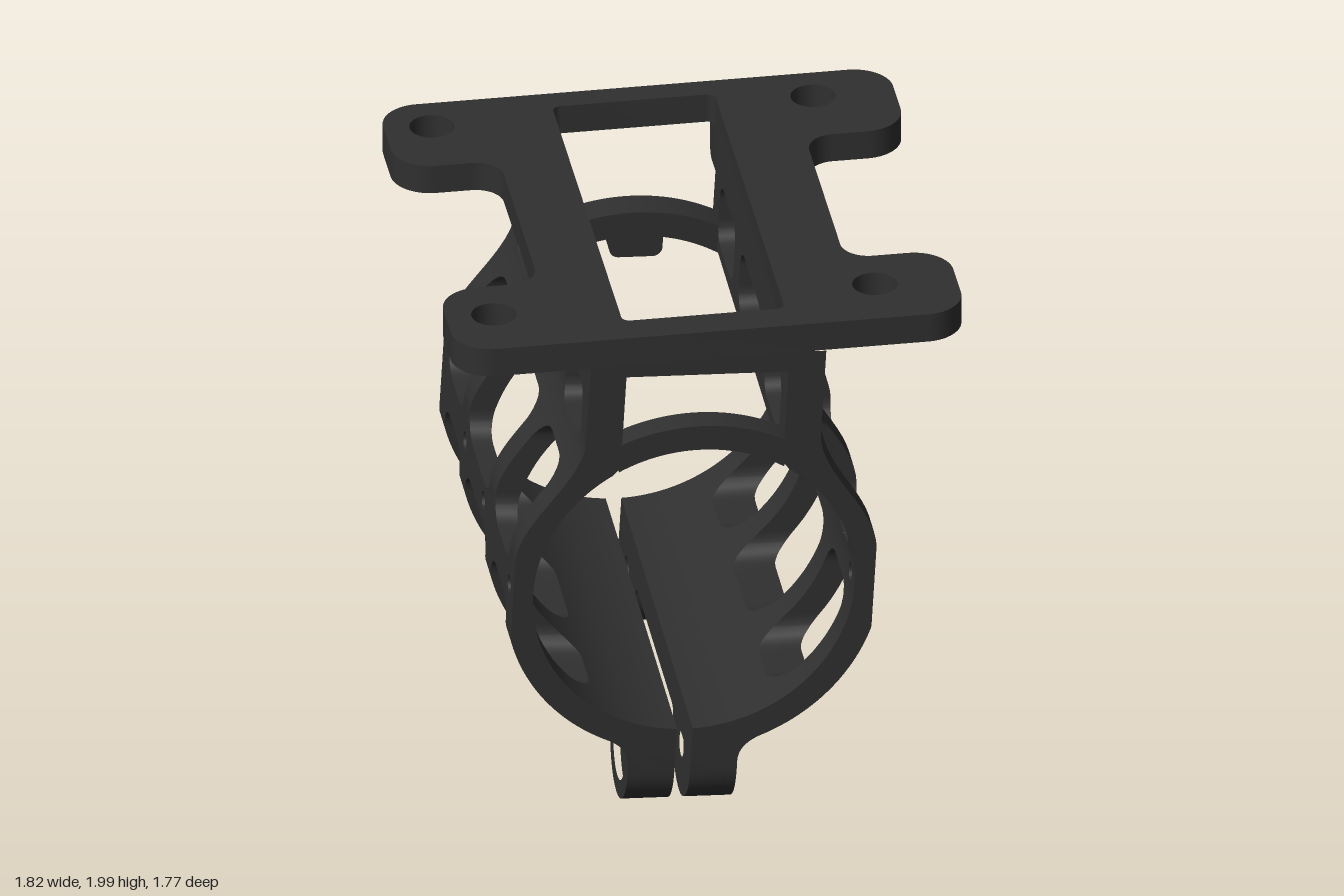
import * as THREE from 'three';
import { toCreasedNormals } from 'three/addons/utils/BufferGeometryUtils.js';

const material = new THREE.MeshStandardMaterial({ color: 0x303030 });
const HALF_LEN = 0.785, R_IN = 0.575, R_OUT = 0.67, SPLIT = -0.49, WALL_TOP = 0.965;

function part(name, geometry, crease = 0.5) {
  const mesh = new THREE.Mesh(toCreasedNormals(geometry, crease), material);
  mesh.name = name;
  return mesh;
}

function extrude(shape, depth) {
  return new THREE.ExtrudeGeometry(shape, { depth, bevelEnabled: false, curveSegments: 20 });
}

// closed outline from [x, y, cornerRadius] points
function rounded(points, target = new THREE.Shape()) {
  const n = points.length;
  points.forEach(([x, y, r], i) => {
    const toward = ([px, py]) => {
      const d = Math.hypot(px - x, py - y);
      return [x + ((px - x) * r) / d, y + ((py - y) * r) / d];
    };
    const a = toward(points[(i + n - 1) % n]), b = toward(points[(i + 1) % n]);
    if (i === 0) target.moveTo(...a); else target.lineTo(...a);
    const k = 0.55;
    if (r > 0) target.bezierCurveTo(a[0] + (x - a[0]) * k, a[1] + (y - a[1]) * k,
      b[0] + (x - b[0]) * k, b[1] + (y - b[1]) * k, ...b);
  });
  target.closePath();
  return target;
}

const rect = (x0, y0, x1, y1, r, target) =>
  rounded([[x0, y0, r], [x1, y0, r], [x1, y1, r], [x0, y1, r]], target);

const circle = (x, y, r) => new THREE.Path().absarc(x, y, r, 0, Math.PI * 2, true);

// wall thickness profile by height
const innerX = (y) => Math.max(0.29, Math.sqrt(Math.max(0, R_IN * R_IN - y * y)));
function outerX(y) {
  if (y < 0.14) return Math.min(0.645, Math.sqrt(R_OUT * R_OUT - y * y));
  return 0.645 - 0.225 * THREE.MathUtils.smoothstep(y, 0.14, 0.62);
}

// windows and small bores cut straight through the side walls
const cuts = [];
for (const [y0, y1, r] of [[-0.48, -0.085, 0.09], [0.065, 0.465, 0.09], [0.555, 0.785, 0.07]]) {
  for (const [z, hw] of [[-0.508, 0.167], [0, 0.225], [0.508, 0.167]]) {
    cuts.push({ z, y: (y0 + y1) / 2, hw, hh: (y1 - y0) / 2, r });
  }
}
for (const z of [-0.28, 0.125, 0.695]) cuts.push({ z, y: -0.005, hw: 0.033, hh: 0.033, r: 0.033 });

function cutWidth(c, y) {
  const d = Math.max(0, Math.abs(y - c.y) - (c.hh - c.r));
  return c.hw - c.r + Math.sqrt(Math.max(0, c.r * c.r - d * d));
}

// side wall built in horizontal bands, each split around the cuts
function sideWallGeometry() {
  let levels = [];
  for (let i = 0; i <= 48; i++) levels.push(SPLIT + ((WALL_TOP - SPLIT) * i) / 48);
  for (const c of cuts) {
    for (let k = 0; k <= 6; k++) {
      const d = c.hh - c.r + c.r * Math.sin((k / 6) * Math.PI / 2);
      levels.push(c.y + d, c.y - d);
    }
  }
  levels = levels.sort((a, b) => a - b).filter((y, i, all) => i === 0 || y - all[i - 1] > 1e-6);

  const pos = [];
  const quad = (a, b, c, d) => pos.push(...a, ...b, ...c, ...a, ...c, ...d);
  const inn = (y, z) => [innerX(y), y, z], out = (y, z) => [outerX(y), y, z];
  for (let i = 0; i + 1 < levels.length; i++) {
    const a = levels[i], b = levels[i + 1], mid = (a + b) / 2;
    const active = cuts.filter((c) => Math.abs(mid - c.y) < c.hh).sort((p, q) => p.z - q.z);
    for (let k = 0; k <= active.length; k++) {
      const p = active[k - 1], q = active[k];
      const lo = (y) => (p ? p.z + cutWidth(p, y) : -HALF_LEN);
      const hi = (y) => (q ? q.z - cutWidth(q, y) : HALF_LEN);
      const [la, lb, ha, hb] = [lo(a), lo(b), hi(a), hi(b)];
      quad(out(a, ha), out(a, la), out(b, lb), out(b, hb));
      quad(inn(a, la), inn(a, ha), inn(b, hb), inn(b, lb));
      quad(inn(a, ha), out(a, ha), out(b, hb), inn(b, hb));
      quad(out(a, la), inn(a, la), inn(b, lb), out(b, lb));
    }
  }
  // sill and lintel of each window
  for (const c of cuts) {
    const w = c.hw - c.r;
    if (w < 0.001) continue;
    const y0 = c.y - c.hh, y1 = c.y + c.hh, z0 = c.z - w, z1 = c.z + w;
    quad(inn(y0, z1), out(y0, z1), out(y0, z0), inn(y0, z0));
    quad(inn(y1, z0), out(y1, z0), out(y1, z1), inn(y1, z1));
  }
  const geo = new THREE.BufferGeometry();
  geo.setAttribute('position', new THREE.Float32BufferAttribute(pos, 3));
  return geo;
}

// lower clamp shell with the flange beside the slit
function lowerShellGeometry() {
  const s = new THREE.Shape();
  const xi = Math.sqrt(R_IN ** 2 - SPLIT ** 2), xo = Math.sqrt(R_OUT ** 2 - SPLIT ** 2);
  s.moveTo(xi, SPLIT);
  s.absarc(0, 0, R_IN, Math.atan2(SPLIT, xi), -Math.acos(0.028 / R_IN), true);
  s.lineTo(0.028, -0.715);
  s.lineTo(0.195, -0.715);
  s.quadraticCurveTo(0.195, -0.65, 0.27, -Math.sqrt(R_OUT ** 2 - 0.27 ** 2));
  s.absarc(0, 0, R_OUT, -Math.acos(0.27 / R_OUT), Math.atan2(SPLIT, xo), false);
  s.closePath();
  return extrude(s, HALF_LEN * 2).translate(0, 0, -HALF_LEN);
}

// extrudes a (z, y) outline between two x positions
const extrudeX = (shape, x0, x1) => extrude(shape, x1 - x0).rotateY(-Math.PI / 2).translate(x1, 0, 0);

function lugShape(end, bore) {
  const cz = 0.6, cy = -0.75, r = 0.185, s = new THREE.Shape();
  const e = (z) => z * end;
  s.moveTo(e(cz + r), -0.62);
  s.lineTo(e(cz + r), cy);
  if (end > 0) s.absarc(cz, cy, r, 0, -Math.PI, true);
  else s.absarc(-cz, cy, r, -Math.PI, 0, false);
  s.quadraticCurveTo(e(cz - r), -0.715, e(cz - r - 0.06), -0.712);
  s.lineTo(e(cz - r - 0.06), -0.62);
  s.closePath();
  s.holes.push(circle(e(cz), cy, bore));
  return s;
}

function clampHalf(name, side) {
  const half = new THREE.Group();
  half.name = name;
  half.add(part('sideWall', sideWallGeometry()), part('lowerShell', lowerShellGeometry()));
  for (const end of [1, -1]) {
    // narrow bolt bore, then a wide counterbore on the outside
    half.add(part('clampLug', extrudeX(lugShape(end, 0.045), 0.028, 0.16)));
    half.add(part('lugCounterbore', extrudeX(lugShape(end, 0.12), 0.16, 0.195)));
  }
  half.scale.x = side;
  return half;
}

function archGeometry(z0, z1) {
  const s = new THREE.Shape(), a = Math.acos(0.295 / R_IN), b = Math.acos(0.31 / 0.672);
  s.absarc(0, 0, R_IN, a, Math.PI - a, false);
  s.absarc(0, 0, 0.672, Math.PI - b, b, true);
  s.closePath();
  return extrude(s, z1 - z0).translate(0, 0, z0);
}

function plateGeometry() {
  const X = 0.91, Z = 0.885, E = 0.44, W = 0.545, c = 0.14, f = 0.1;
  const s = rounded([
    [X, -Z, c], [X, -E, c], [W, -E, f], [W, E, f], [X, E, c], [X, Z, c],
    [-X, Z, c], [-X, E, c], [-W, E, f], [-W, -E, f], [-X, -E, c], [-X, -Z, c],
  ]);
  s.holes.push(rect(-0.3, -0.76, 0.28, 0.79, 0.03, new THREE.Path()));
  for (const x of [-0.74, 0.62]) for (const z of [-0.72, 0.64]) s.holes.push(circle(x, -z, 0.08));
  return extrude(s, 0.11).rotateX(-Math.PI / 2).translate(0, 1.89, 0);
}

export function createModel() {
  const model = new THREE.Group();
  model.name = 'tubeClampBracket';
  model.add(part('mountingPlate', plateGeometry()));

  // rear stubs under the plate
  for (const [x0, x1] of [[-0.44, -0.3], [0.28, 0.42]]) {
    const stub = rounded([[-0.66, 1.7, 0], [-0.66, 1.93, 0], [-0.888, 1.93, 0], [-0.888, 1.7, 0.04]]);
    model.add(part('rearStub', extrudeX(stub, x0, x1)));
  }

  // clamp body, slightly tilted under the plate
  const body = new THREE.Group();
  body.name = 'clampBody';
  body.position.set(-0.06, 0.97, 0.065);
  body.rotation.set(0.035, 0, -0.05);
  body.add(clampHalf('leftHalf', 1), clampHalf('rightHalf', -1));
  body.add(part('frontArch', archGeometry(0.69, HALF_LEN)), part('rearArch', archGeometry(-HALF_LEN, -0.67)));

  const key = rect(-0.095, 0.49, 0.095, 0.61, 0.035);
  body.add(part('keyTab', extrude(key, 0.115).translate(0, 0, -HALF_LEN)));
  const bar = new THREE.BoxGeometry(0.6, 0.09, 0.09).translate(0, 0.93, 0.74);
  body.add(part('frontCrossbar', bar));
  model.add(body);
  return model;
}
